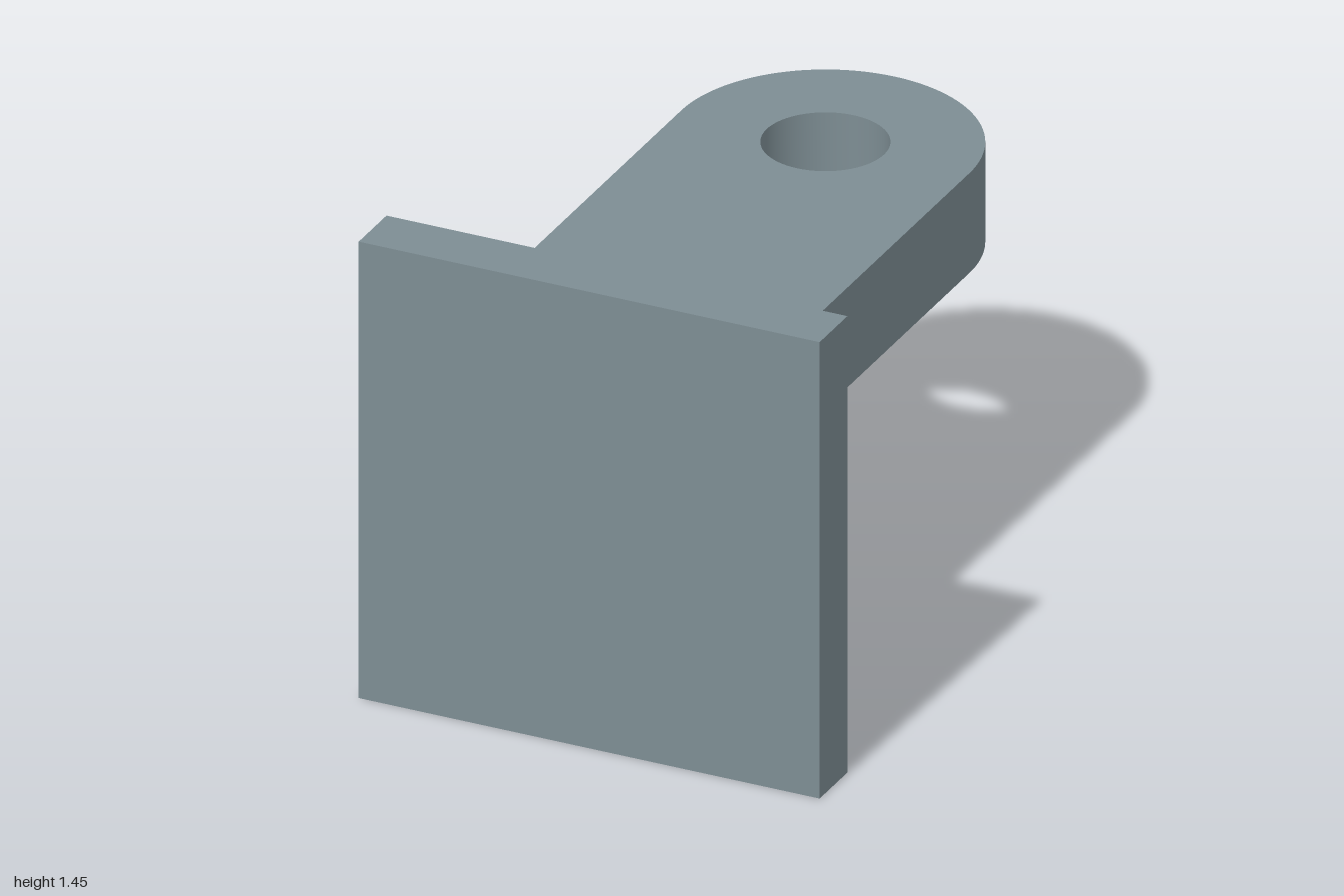
import * as THREE from 'three';
import { toCreasedNormals } from 'three/addons/utils/BufferGeometryUtils.js';

const U = 2 / 11; // design unit: the bracket is 11 units deep

export function createModel() {
  const model = new THREE.Group();
  model.name = 'mountingBracket';
  const steel = new THREE.MeshStandardMaterial({ color: 0x7d8d93 });
  steel.name = 'greySteel';

  const add = (name, geometry, x, y, z) => {
    const mesh = new THREE.Mesh(geometry, steel);
    mesh.name = name;
    mesh.position.set(x, y, z);
    model.add(mesh);
  };

  // Square wall plate at the front
  add('wallPlate', new THREE.BoxGeometry(8 * U, 8 * U, U), 0, 4 * U, 5 * U);

  // Round-ended arm with a pin hole, drawn in plan (shape y runs backwards)
  const radius = 2.5 * U;
  const holeZ = 3 * U;
  const plan = new THREE.Shape();
  plan.moveTo(-radius, -4.5 * U);
  plan.lineTo(radius, -4.5 * U);
  plan.lineTo(radius, holeZ);
  plan.absarc(0, holeZ, radius, 0, Math.PI, false);
  plan.closePath();
  const hole = new THREE.Path();
  hole.absarc(0, holeZ, 0.185, 0, Math.PI * 2, true);
  plan.holes.push(hole);
  const arm = new THREE.ExtrudeGeometry(plan, { depth: 1.75 * U, bevelEnabled: false, curveSegments: 48 });
  arm.rotateX(-Math.PI / 2);
  add('arm', toCreasedNormals(arm, 0.5), 0, 5 * U, 0);

  // Central rib supporting the arm from below
  add('supportRib', new THREE.BoxGeometry(U, 4 * U, 5 * U), 0, 3 * U, 2 * U);

  return model;
}
